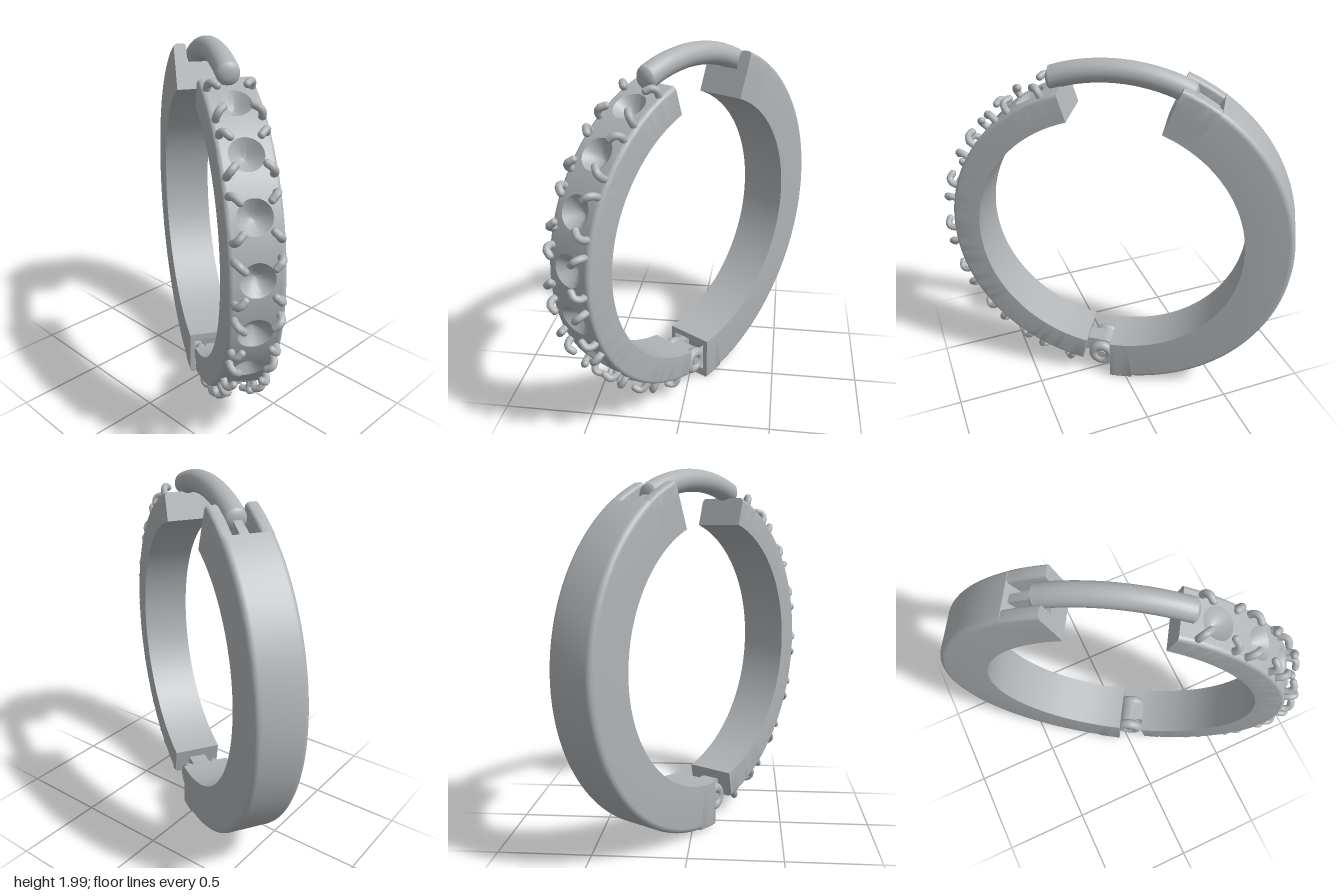
import * as THREE from 'three';
import { toCreasedNormals } from 'three/addons/utils/BufferGeometryUtils.js';

const RAD = Math.PI / 180;
const HALF = 0.137; // half width of the band
const metal = new THREE.MeshStandardMaterial({ color: 0xb0b4b7 });
metal.name = 'silver grey';

// Point on the hoop: radius, angle in degrees (0 = front, 90 = top), offset across the band
const polar = (r, deg, z) => [r * Math.cos(deg * RAD), r * Math.sin(deg * RAD), z];

function mesh(name, geometry, parent) {
  const m = new THREE.Mesh(geometry, metal);
  m.name = name;
  parent.add(m);
  return m;
}

// Surface grid; f(i, j) gives a point, extra triangles may close the ends
function grid(f, nu, nv, capFan = 0) {
  const pos = [], index = [];
  for (let i = 0; i <= nu; i++) for (let j = 0; j <= nv; j++) pos.push(...f(i, j));
  const id = (i, j) => i * (nv + 1) + j;
  for (let i = 0; i < nu; i++) {
    for (let j = 0; j < nv; j++) {
      const a = id(i, j), b = id(i + 1, j), c = id(i + 1, j + 1), d = id(i, j + 1);
      index.push(a, b, c, a, c, d);
    }
  }
  for (let j = 1; j < capFan - 1; j++) {
    index.push(id(0, 0), id(0, j), id(0, j + 1));
    index.push(id(nu, 0), id(nu, j + 1), id(nu, j));
  }
  const g = new THREE.BufferGeometry();
  g.setAttribute('position', new THREE.Float32BufferAttribute(pos, 3));
  g.setIndex(index);
  return toCreasedNormals(g, 0.5);
}

// Arc-shaped bar with rounded outer edges; open leaves out the flat outer face
function arcBar(r0, r1, a0, a1, z0, z1, bevel = 0, open = false) {
  const p = [];
  const corner = (z, sign, from, to) => {
    const n = bevel ? 5 : 0;
    for (let k = 0; k <= n; k++) {
      const t = (from + (to - from) * (n ? k / n : 0)) * RAD;
      p.push([r1 - bevel + bevel * Math.cos(t), z - sign * bevel + sign * bevel * Math.sin(t)]);
    }
  };
  corner(z1, 1, 0, 90);
  p.push([r0, z1], [r0, z0]);
  corner(z0, -1, 90, 0);
  const n = p.length, steps = Math.max(2, Math.ceil((a1 - a0) / 2));
  return grid((i, j) => {
    const [r, z] = p[j % n];
    return polar(r, a0 + (a1 - a0) * i / steps, z);
  }, steps, open ? n - 1 : n, n);
}

// Patch of the outer face with a round conical seat sunk into it
function seatPatch(mid, lo, hi, R, w) {
  const rad = 0.085, side = 12, dishRows = 6, flatRows = 6;
  const square = k => {
    const s = Math.floor(k / side) % 4, t = -1 + 2 * (k % side) / side;
    return [[1, t], [-t, 1], [-1, -t], [t, -1]][s];
  };
  return grid((i, j) => {
    const [a, b] = square(j), len = Math.hypot(a, b);
    const arc = R * RAD;
    if (i <= dishRows) {
      const q = i / dishRows;
      const depth = 0.065 * (1 - Math.pow(q, 1.5));
      return polar(R - depth, mid + rad * q * a / len / arc, rad * q * b / len);
    }
    const s = (i - dishRows) / flatRows;
    const edge = a > 0 ? a * (hi - mid) : a * (mid - lo);
    return polar(R, mid + (1 - s) * rad * a / len / arc + s * edge, (1 - s) * rad * b / len + s * w * b);
  }, dishRows + flatRows, side * 4);
}

export function createModel() {
  const model = new THREE.Group();
  model.name = 'hoopEarring';
  const hoop = new THREE.Group();
  hoop.name = 'hoop';
  hoop.rotation.y = -2.126;
  hoop.position.set(-0.01, 0.995, 0.017);
  model.add(hoop);

  // Thick rear half
  const rear = new THREE.Group();
  rear.name = 'rearHalf';
  hoop.add(rear);
  const rIn = 0.734, rOut = 0.992;
  mesh('rearBand', arcBar(rIn, rOut, 124, 262, -HALF, HALF, 0.03), rear);
  // Catch slot at the upper end
  mesh('catchFloor', arcBar(rIn, 0.885, 111.5, 124, -HALF, HALF), rear);
  for (const s of [-1, 1]) {
    const a = s * 0.068, b = s * HALF;
    mesh('catchWall', arcBar(0.885, rOut - 0.004, 111.5, 124, Math.min(a, b), Math.max(a, b), 0.02), rear);
    // Hinge recess walls at the lower end
    const c = s * 0.11;
    mesh('hingeWall', arcBar(rIn, rOut, 262, 270, Math.min(c, b), Math.max(c, b), 0.012), rear);
  }
  mesh('hingeFloor', arcBar(0.94, rOut, 262, 270, -0.112, 0.112), rear);
  mesh('hingeRoof', arcBar(rIn, 0.77, 262, 270, -0.112, 0.112), rear);
  mesh('undersideBar', arcBar(0.985, 0.999, 260, 262, -0.05, 0.05), rear);

  // Slim front half with stone seats
  const front = new THREE.Group();
  front.name = 'frontHalf';
  hoop.add(front);
  const R = 0.895, bevel = 0.022, top = 73, bottom = -79, count = 8, step = 18.4;
  mesh('frontBand', arcBar(0.74, R, bottom, top, -HALF, HALF, bevel, true), front);

  // One claw: rises from the band and hooks over the seat
  const clawPath = (mid, st, sz) => new THREE.CatmullRomCurve3(
    [[0.1, 0.108, 0.875], [0.1, 0.108, 0.922], [0.088, 0.095, 0.944], [0.066, 0.072, 0.942]].map(
      ([t, z, r]) => new THREE.Vector3(...polar(r, mid + st * t / R / RAD, sz * z))));
  for (let k = 0; k < count; k++) {
    const mid = 60.6 - step * k;
    const hi = k === 0 ? top : mid + step / 2;
    const lo = k === count - 1 ? bottom : mid - step / 2;
    mesh('stoneSeat', seatPatch(mid, lo, hi, R, HALF - bevel), front);
    for (const st of [-1, 1]) {
      for (const sz of [-1, 1]) {
        const path = clawPath(mid, st, sz);
        mesh('claw', new THREE.TubeGeometry(path, 10, 0.019, 10), front);
        const tip = mesh('clawTip', new THREE.SphereGeometry(0.019, 10, 8), front);
        tip.position.copy(path.getPoint(1));
      }
    }
  }

  // Curved closing post with a slim tongue going into the catch
  const arcPath = (r, a0, a1) => new THREE.CatmullRomCurve3(
    Array.from({ length: 9 }, (_, i) => new THREE.Vector3(...polar(r, a0 + (a1 - a0) * i / 8, 0))));
  const postPath = arcPath(0.943, 70.5, 115);
  mesh('post', new THREE.TubeGeometry(postPath, 40, 0.06, 24), hoop);
  for (const t of [0, 1]) {
    const cap = mesh('postEnd', new THREE.SphereGeometry(0.06, 24, 16), hoop);
    cap.position.copy(postPath.getPoint(t));
    cap.scale.x = 0.5;
  }
  mesh('postTongue', arcBar(0.885, 0.955, 115, 124, -0.022, 0.022), hoop);

  // Hinge: centre knuckle, outer rings and pin
  const hinge = new THREE.Group();
  hinge.name = 'hinge';
  hinge.position.set(0.06, -0.855, 0);
  hoop.add(hinge);
  const barrel = (name, r, len) => {
    mesh(name, new THREE.CylinderGeometry(r, r, len, 28), hinge).rotation.x = Math.PI / 2;
  };
  barrel('knuckle', 0.075, 0.11);
  barrel('hingePin', 0.024, 0.21);
  for (const s of [-1, 1]) {
    mesh('hingeRing', new THREE.TorusGeometry(0.052, 0.03, 14, 28), hinge).position.z = s * 0.082;
    const lug = mesh('ringLug', new THREE.BoxGeometry(0.09, 0.06, 0.045), hinge);
    lug.position.set(-0.085, 0, s * 0.082);
  }
  const lug = mesh('frontLug', new THREE.BoxGeometry(0.12, 0.09, 0.1), hinge);
  lug.position.set(0.07, 0.03, 0);
  return model;
}
